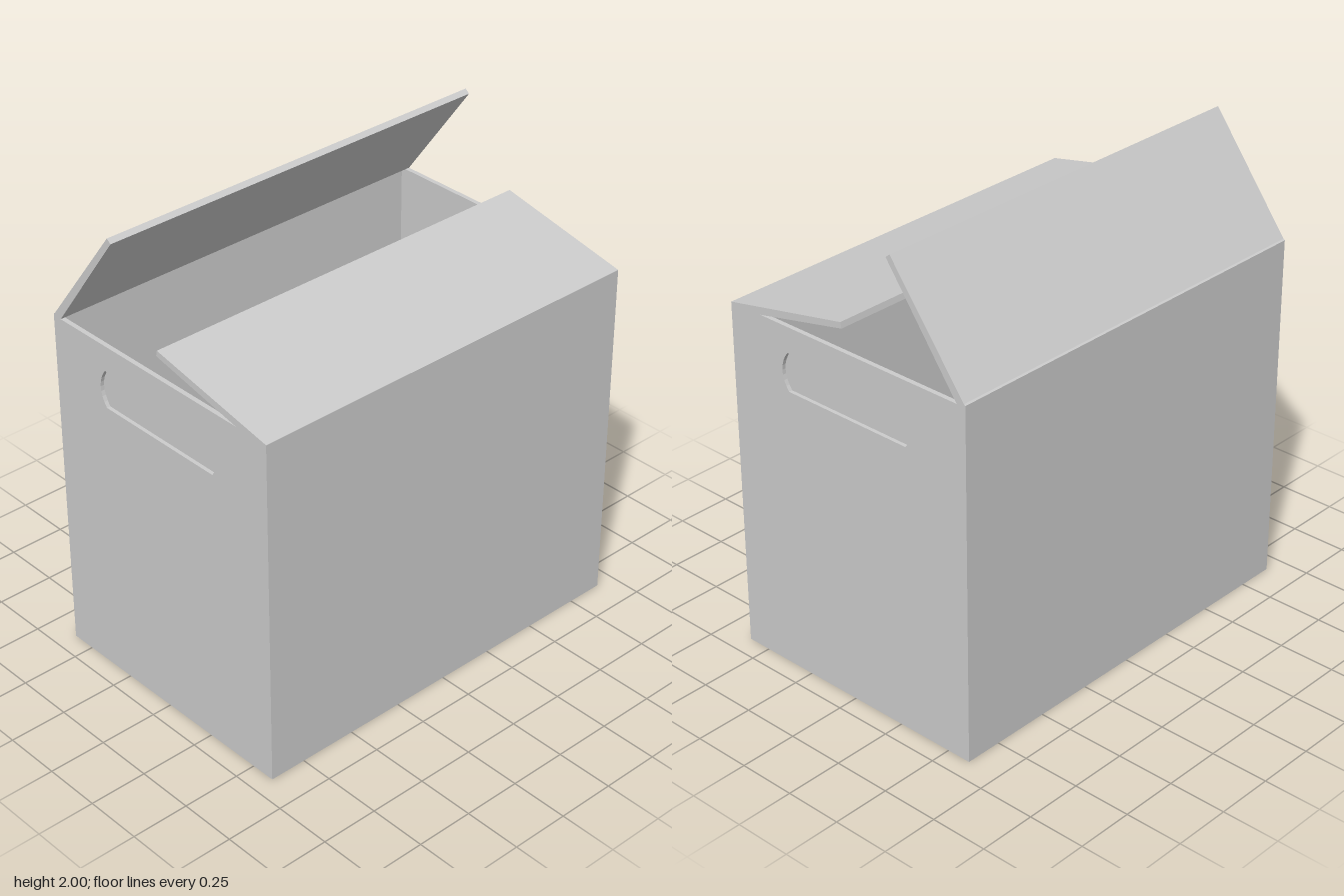
import * as THREE from 'three';

const W = 0.607, D = 0.912, H = 1.525; // half width, half depth, wall height
const T = 0.02; // board thickness
const RECESS = 0.016; // depth of the handle recess

export function createModel() {
  const box = new THREE.Group();
  box.name = 'cardboardBox';
  const material = new THREE.MeshStandardMaterial({ color: 0xcccccc, flatShading: true });

  const add = (name, geometry, parent = box) => {
    const mesh = new THREE.Mesh(geometry, material);
    mesh.name = name;
    parent.add(mesh);
    return mesh;
  };
  const board = (name, w, h, d, x, y, z, parent) =>
    add(name, new THREE.BoxGeometry(w, h, d), parent).position.set(x, y, z);

  // Floor and the two plain side walls
  board('floor', 2 * (W - T), T, 2 * (D - T), 0, T / 2, 0);
  for (const [name, s] of [['leftWall', 1], ['rightWall', -1]]) {
    board(name, T, H, 2 * (D - T), s * (W - T / 2), H / 2, 0);
  }

  // End panel outline with a round-ended handle opening
  const panel = new THREE.Shape([[-W, 0], [W, 0], [W, H], [-W, H]].map(p => new THREE.Vector2(...p)));
  const grip = new THREE.Path();
  const gx = 0.306, bulge = 0.063, low = 1.25, high = 1.414, mid = (low + high) / 2;
  grip.moveTo(-gx, low);
  grip.quadraticCurveTo(-gx - bulge, mid, -gx, high);
  grip.lineTo(gx, high);
  grip.quadraticCurveTo(gx + bulge, mid, gx, low);
  grip.closePath();
  panel.holes.push(grip);
  const panelGeometry = new THREE.ExtrudeGeometry(panel, { depth: RECESS, bevelEnabled: false, curveSegments: 8 });

  // Front and back walls: pierced outer layer over a thin backing
  for (const [name, angle] of [['frontWall', 0], ['backWall', Math.PI]]) {
    const wall = new THREE.Group();
    wall.name = name;
    wall.rotation.y = angle;
    add(name + 'Panel', panelGeometry, wall).position.z = D - RECESS;
    board(name + 'HandleBacking', 2 * W, H, T - RECESS, 0, H / 2, D - (T + RECESS) / 2, wall);
    box.add(wall);
  }

  // Open lid flaps, each a side profile run along the full depth
  const flap = (name, points) => {
    const shape = new THREE.Shape(points.map(p => new THREE.Vector2(...p)));
    const geometry = new THREE.ExtrudeGeometry(shape, { depth: 2 * D, bevelEnabled: false });
    add(name, geometry.translate(0, 0, -D));
  };
  flap('rightFlap', [[-W, H], [-0.565, H], [-0.229, 1.984], [-0.249, 2], [-0.6, 1.537], [-W, 1.532]]);
  flap('leftFlap', [[0.447, H], [W, H], [0.013, 1.645], [0.008, 1.62]]);

  return box;
}
